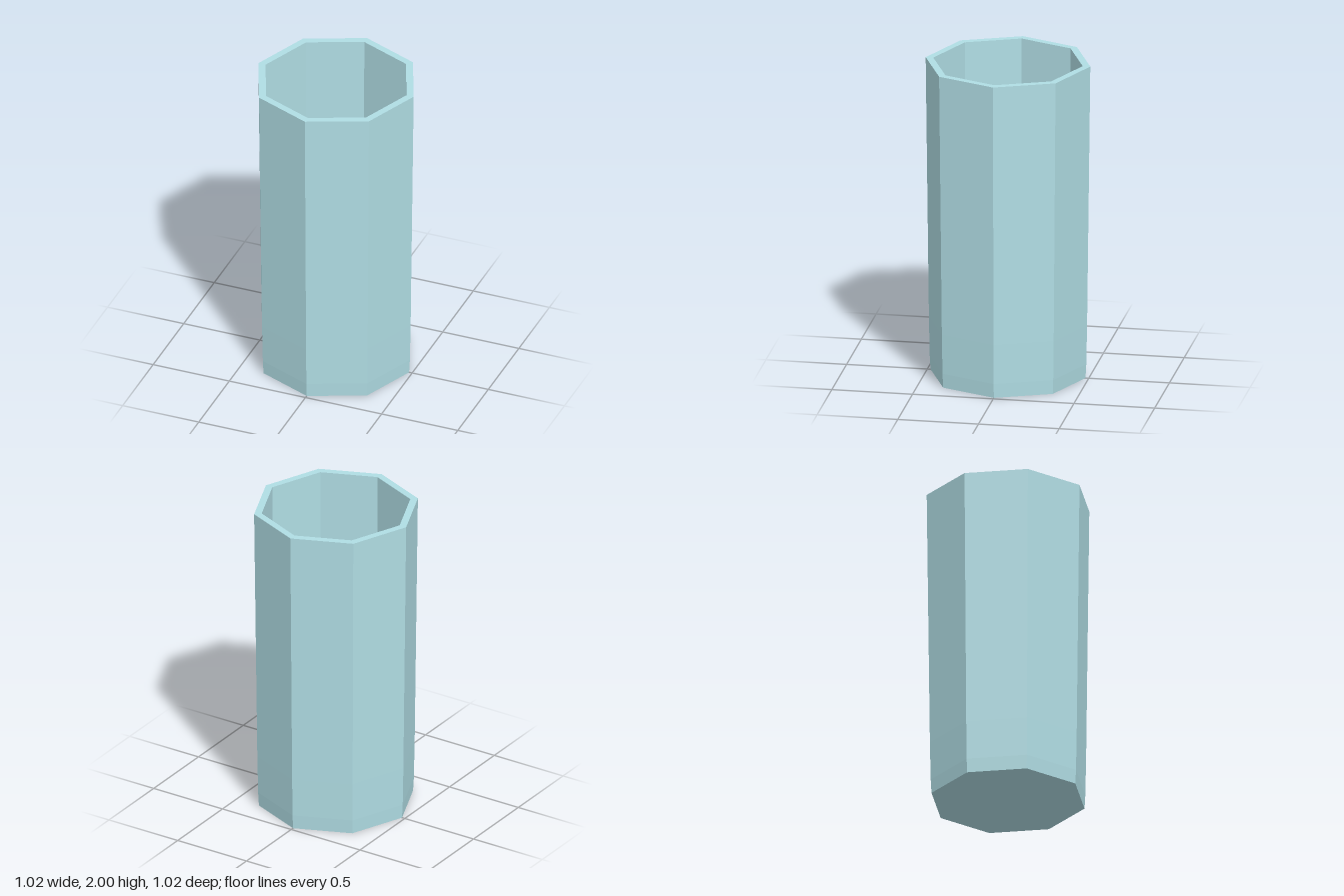
import * as THREE from 'three';

export function createModel() {
  const group = new THREE.Group();
  group.name = 'cup';
  const material = new THREE.MeshStandardMaterial({ color: 0xb0dde4, flatShading: true });

  // Closed profile: underside, outer wall, rim, inner wall, inner floor
  const profile = [
    [0, 0],
    [0.48, 0], [0.485, 0.09], [0.49, 0.34], [0.51, 2],
    [0.463, 2], [0.457, 0.1],
    [0, 0.1],
  ].map(([r, y]) => new THREE.Vector2(r, y));

  // Eight-sided tumbler with corners on the x and z axes
  const tumbler = new THREE.Mesh(new THREE.LatheGeometry(profile, 8), material);
  tumbler.name = 'tumbler';
  group.add(tumbler);
  return group;
}
